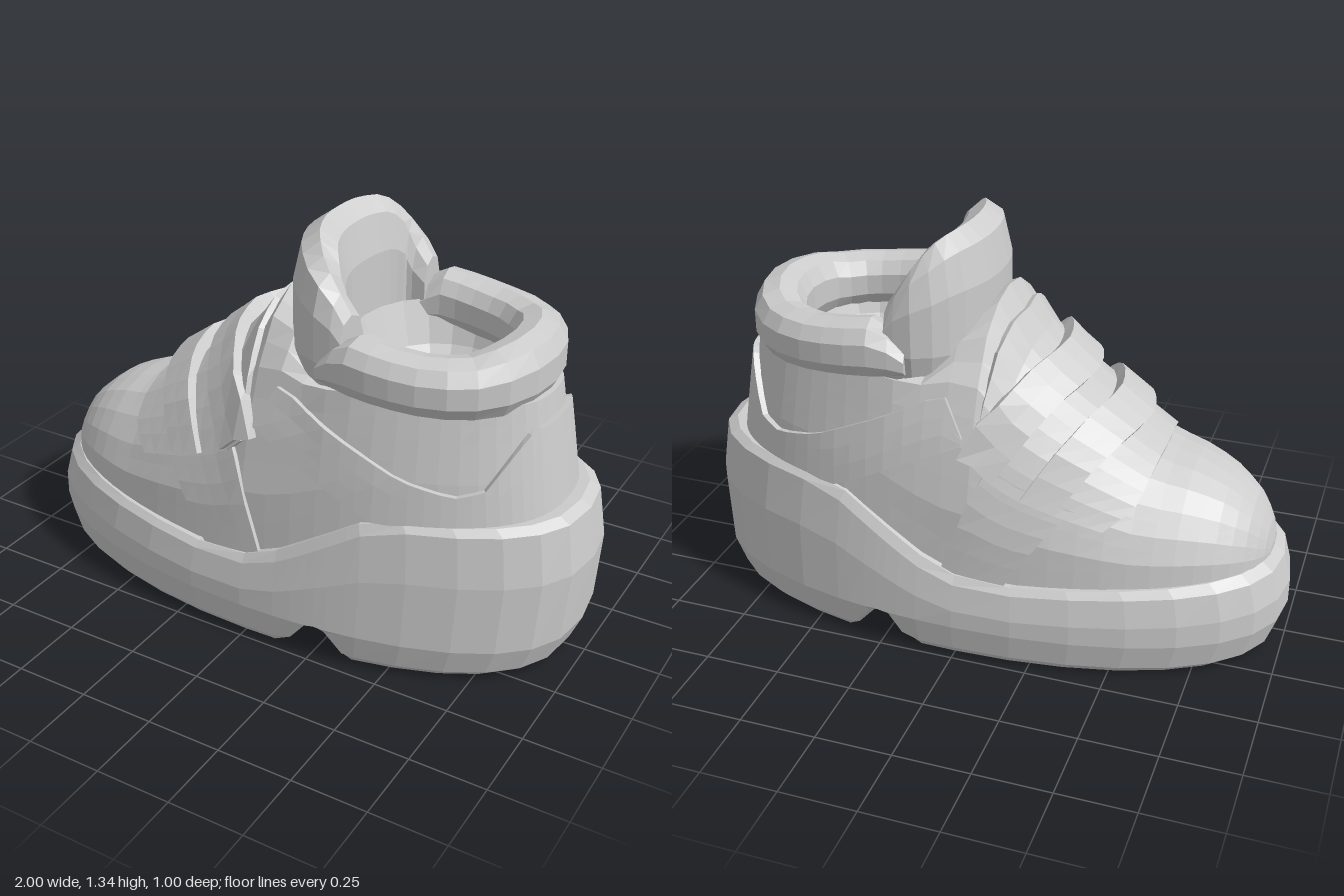
import * as THREE from 'three';

const V = (x, y, z) => new THREE.Vector3(x, y, z);
const clamp = THREE.MathUtils.clamp, lerp = THREE.MathUtils.lerp;

// piecewise linear curve through [x, y] points
function lin(pts, x) {
  if (x <= pts[0][0]) return pts[0][1];
  for (let i = 1; i < pts.length; i++) {
    const [x0, y0] = pts[i - 1], [x1, y1] = pts[i];
    if (x <= x1) return lerp(y0, y1, (x - x0) / (x1 - x0));
  }
  return pts[pts.length - 1][1];
}

// grid of points fn(i, j) joined by quads
function grid(nu, nv, fn) {
  const pos = [], idx = [];
  for (let j = 0; j <= nv; j++) for (let i = 0; i <= nu; i++) pos.push(...fn(i, j).toArray());
  for (let j = 0; j < nv; j++) for (let i = 0; i < nu; i++) {
    const a = j * (nu + 1) + i, b = a + 1, c = b + nu + 1, d = a + nu + 1;
    idx.push(a, b, c, a, c, d);
  }
  const g = new THREE.BufferGeometry();
  g.setAttribute('position', new THREE.Float32BufferAttribute(pos, 3));
  g.setIndex(idx);
  g.computeVertexNormals();
  return g;
}

// plan outline of the shoe, angle 0 at the toe, PI at the heel; the heel is fuller
const oval = a => {
  const x = -Math.cos(a), z = Math.sin(a);
  return [x, Math.sign(z) * Math.abs(z) ** (x > 0 ? .77 : .83)];
};

// side profile curves along x
const SOLE_EDGE = [[-1, .3], [-.5, .28], [-.16, .26], [.05, .27], [.2, .35], [.42, .48], [.52, .51], [1, .53]];
const SOLE_TOP = [[-1, .33], [-.5, .3], [-.16, .28], [.05, .3], [.2, .385], [.42, .51], [.52, .53], [1, .55]];
const RIDGE = [[-.94, .34], [-.925, .4], [-.88, .48], [-.8, .55], [-.7, .6], [-.55, .64], [-.45, .71], [-.3, .82],
  [-.2, .9], [-.1, 1.0], [-.04, 1.12], [.03, 1.11], [.12, .98], [.2, .91], [1, .9]];
const GROOVE = [[.12, 0], [.18, .03], [.23, .09], [.26, .1], [.3, .085], [.36, .02], [.4, 0]];

// cross-sections [width, height] from the sole up to the middle
const DOME = [[1, 0], [.97, .25], [.86, .5], [.7, .72], [.5, .89], [.25, .975], [0, 1]];
const ANKLE = [[1, 0], [.96, .35], [.89, .7], [.83, 1], [.66, .9], [.45, .5], [0, .35]];

// surface of the upper: a runs round the outline, s from sole (0) over the ridge (1) to the other side (2)
function upper(a, s) {
  if (s > 1) { a = 2 * Math.PI - a; s = 2 - s; }
  const [ox, oz] = oval(a);
  const x = -.03 + .91 * ox;
  const k = THREE.MathUtils.smoothstep(x, -.05, .3);
  const dip = lin([[.1, 0], [.2, 1], [.68, 1], [.8, 0]], x);
  const t = clamp(s, 0, 1) * 6, j = Math.min(5, Math.floor(t)), r = t - j;
  const sec = n => {
    const f = n > 3 ? 1 - dip * (1 - ANKLE[n][1]) : ANKLE[n][1];
    return [lerp(DOME[n][0], ANKLE[n][0], k), lerp(DOME[n][1], f, k)];
  };
  const p = sec(j), q = sec(j + 1);
  const g = lerp(p[0], q[0], r), f = lerp(p[1], q[1], r);
  const base = lin(SOLE_TOP, x);
  return V(x - .05 * f * clamp((x - .4) / .4, 0, 1), base + (Math.max(lin(RIDGE, x), base) - base) * f, .44 * oz * g);
}

// a point lifted off the upper along its normal
function lifted(a, s, h) {
  const e = .015;
  const da = upper(a + e, s).sub(upper(a - e, s));
  const ds = upper(a, s + e).sub(upper(a, Math.max(0, s - e)));
  return upper(a, s).addScaledVector(da.cross(ds).normalize(), h);
}
const angleAt = x => Math.acos(clamp(-(x + .03) / .91, -1, 1));

// s at which the side of the upper reaches height y
function sAtHeight(a, y) {
  let lo = 0, hi = .5;
  for (let i = 0; i < 20; i++) {
    const m = (lo + hi) / 2;
    if (upper(a, m).y < y) lo = m; else hi = m;
  }
  return lo;
}

// raised plate lying on the upper, at(u, v) gives [a, s], with heights in the middle and at the ends
function plate(nu, nv, mid, end, at) {
  return grid(nu + 2, nv + 2, (i, j) => {
    const edge = i === 0 || j === 0 || i === nu + 2 || j === nv + 2;
    const v = clamp(j - 1, 0, nv) / nv;
    const [a, s] = at(clamp(i - 1, 0, nu) / nu, v);
    return lifted(a, s, edge ? -.015 : lerp(mid, end, Math.abs(2 * v - 1)));
  });
}

// padded roll swept along a plan path; size(p) gives [low, high, half thickness]
function roll(points, n, size, square) {
  const path = new THREE.CatmullRomCurve3(points.map(([x, z]) => V(x, 0, z)));
  const m = 10, pw = c => Math.sign(c) * Math.abs(c) ** square;
  return grid(n + 2, m, (i, j) => {
    const u = clamp(i - 1, 0, n) / n, p = path.getPoint(u), t = path.getTangent(u);
    const [lo, hi, w] = size(p);
    const k = i === 0 || i === n + 2 ? 0 : 1;
    const th = j / m * Math.PI * 2 + Math.PI / m;
    const o = pw(Math.cos(th)) * w * k;
    return V(p.x - t.z * o, (lo + hi) / 2 + pw(Math.sin(th)) * (hi - lo) / 2 * k, p.z + t.x * o);
  });
}

export function createModel() {
  const shoe = new THREE.Group();
  shoe.name = 'shoe';
  const grey = new THREE.MeshStandardMaterial({ color: 0xcccccc, flatShading: true, side: THREE.DoubleSide });
  grey.name = 'plain grey';
  const add = (name, geometry) => {
    const mesh = new THREE.Mesh(geometry, grey);
    mesh.name = name;
    shoe.add(mesh);
  };

  // thick sole with a groove across the bottom before the heel
  const half = GROOVE.map(([x]) => Math.acos(-x / .97));
  for (let i = 0; i <= 16; i++) {
    const a = i / 16 * Math.PI;
    if (half.every(b => Math.abs(b - a) > .03)) half.push(a);
  }
  half.sort((p, q) => p - q);
  const around = [...half, ...half.slice(0, -1).reverse().map(a => 2 * Math.PI - a)];
  const layers = [ // [scale, width, height along x]
    [.94, 0, () => 0], [.94, 1, () => 0], [.97, 1, () => .03], [1, 1, () => .12],
    [1, 1, x => lin(SOLE_EDGE, x) * .68], [.975, 1, x => lin(SOLE_EDGE, x)],
    [.94, 1, x => lin(SOLE_TOP, x)], [.94, 0, x => lin(SOLE_TOP, x)],
  ];
  add('sole', grid(around.length - 1, layers.length - 1, (i, j) => {
    const [ox, oz] = oval(around[i]), [scale, width, height] = layers[j];
    const y0 = height(ox);
    const y = j < 4 ? Math.max(y0, lin(GROOVE, ox * .97) + j * .008) : y0;
    const taper = 1 - .17 * Math.max(0, y0 - .17);
    const heel = ox > 0 ? 1 - .1 * ox * Math.max(0, .3 - y0) : 1;
    return V(ox * scale * heel, y, .5 * oz * scale * width * taper);
  }));

  // upper with the foot opening sunk into it
  add('upper', grid(64, 12, (i, j) => upper(i / 64 * 2 * Math.PI, j / 12)));

  // rounded bowl lining the foot opening
  const BOWL = [[0, .7], [.3, .71], [.58, .755], [.82, .85], [1, .99]];
  add('lining', grid(20, BOWL.length - 1, (i, j) => {
    const t = -i / 20 * Math.PI * 2, [r, y] = BOWL[j];
    return V(.45 + .28 * r * Math.cos(t), y, .28 * r * Math.sin(t));
  }));

  // low panel under the straps
  add('strapBase', plate(8, 16, .018, .018, (u, v) => {
    const s = lerp(.3, 1.7, v), d = Math.abs(s - 1) / .7;
    const front = lerp(-.57, -.5, d * d) + .05 * Math.max(0, d - .8) / .2;
    return [angleAt(lerp(front, lerp(-.08, -.04, d), u)), s];
  }));

  // two thick straps over the instep
  for (const [name, top, low] of [['frontStrap', -.425, -.25], ['rearStrap', -.24, -.05]])
    add(name, plate(2, 14, .07, .04, (u, v) => {
      const s = lerp(.31, 1.69, v), d = Math.abs(s - 1) / .69;
      return [angleAt(lerp(top, low, d ** 1.7) + (u - .5) * .11), s];
    }));

  // side panels running from the straps to the sole
  for (const side of [0, 1])
    add(side ? 'rightSidePanel' : 'leftSidePanel', plate(4, 5, .015, .015, (u, v) => {
      const h = side ? 1 - v : v;
      const x = lerp(lerp(-.16, -.36, h), lerp(.05, -.09, h), u);
      return [angleAt(x), side ? 2 - h * .34 : h * .34];
    }));

  // quarter and heel counter wrapping round the back with a wavy top edge
  const EDGE = [[0, .74], [.07, .87], [.3, .76], [.5, .67], [.66, .63], [.74, .65], [.8, .74], [.85, .82], [.9, .83]];
  const LOW = [[0, .72], [.2, .63], [.42, .52], [.9, .5]];
  const a0 = angleAt(0);
  add('heelQuarter', plate(44, 3, .02, .02, (u, v) => {
    const a = lerp(a0, 2 * Math.PI - a0, u), x = -.03 - .91 * Math.cos(a);
    return [a, sAtHeight(a, lerp(lin(LOW, x), lin(EDGE, x), v))];
  }));

  // padded collar round the back of the opening
  const side = [[.215, .275], [.32, .3], [.45, .3], [.59, .265], [.7, .17]];
  const mirror = pts => pts.map(([x, z]) => [x, -z]).reverse();
  add('collar', roll([...side, [.745, 0], ...mirror(side)], 20,
    p => [lin([[.215, .9], [.3, .885], [.8, .855]], p.x),
      lin([[.215, .99], [.3, 1.08], [.5, 1.055], [.65, 1.055], [.75, 1.085]], p.x), .088], .85));

  // padded tongue curving round the front of the opening
  const flank = [[.275, -.268], [.19, -.262], [.125, -.2], [.085, -.1]];
  add('tongue', roll([...flank, [.075, 0], ...mirror(flank)], 18,
    p => [lin([[.07, .78], [.25, .88]], p.x),
      lin([[.08, 1.34], [.125, 1.325], [.19, 1.25], [.275, 1.12]], p.x),
      lin([[.08, .09], [.25, .065]], p.x)], .8));

  return shoe;
}
